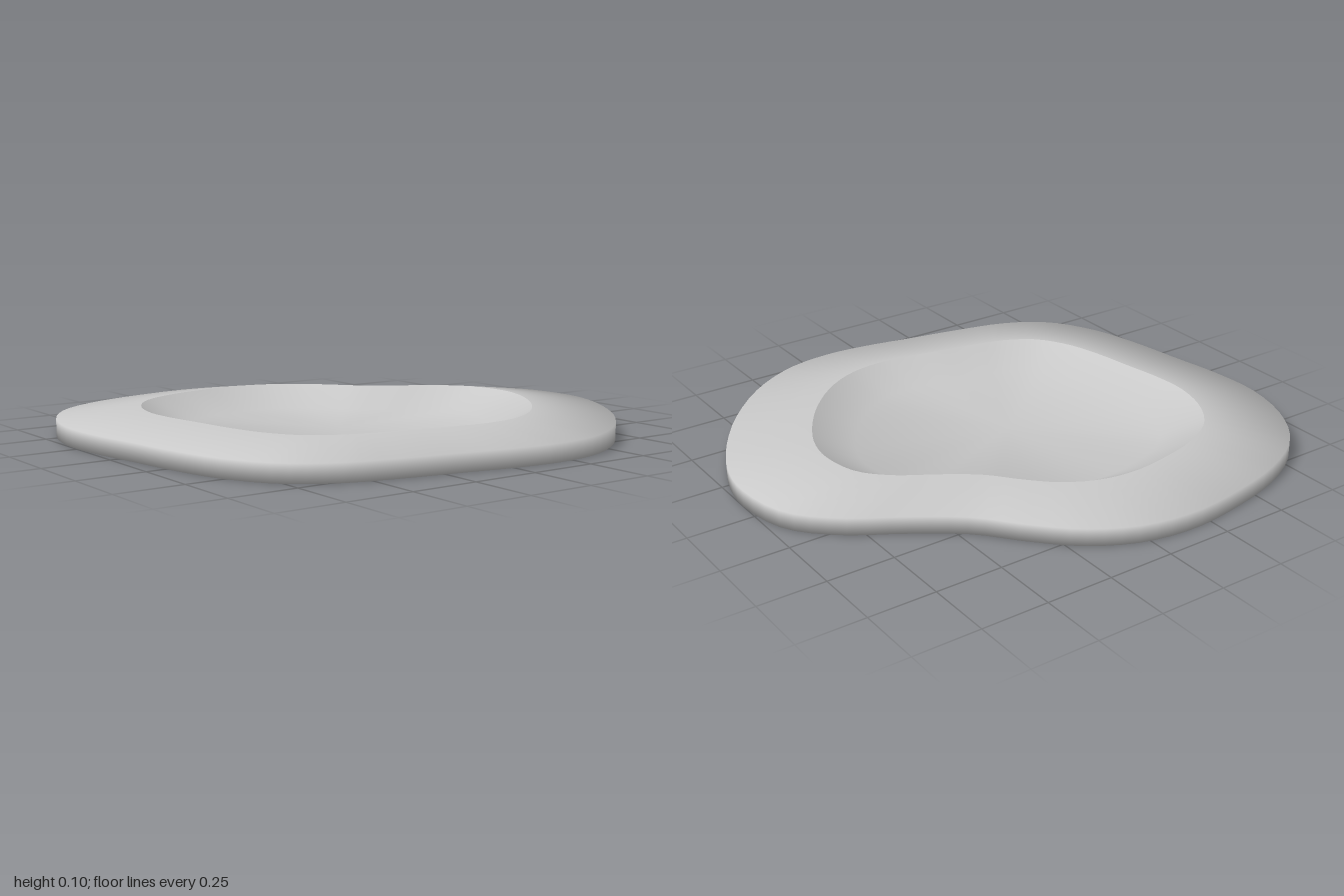
import * as THREE from 'three';

// Blob outline as x, z pairs, running from the left side round the back
const OUTLINE = [
  1, 0.08, 0.955, -0.13, 0.825, -0.275, 0.63, -0.4, 0.46, -0.525, 0.335, -0.67,
  0.2, -0.8, 0.03, -0.89, -0.17, -0.922, -0.4, -0.895, -0.62, -0.835, -0.81, -0.725,
  -0.935, -0.55, -0.995, -0.34, -0.99, -0.145, -0.955, 0.07, -0.917, 0.3, -0.86, 0.5,
  -0.755, 0.67, -0.6, 0.77, -0.395, 0.825, -0.18, 0.866, 0.03, 0.907, 0.2, 0.92,
  0.385, 0.89, 0.575, 0.788, 0.765, 0.605, 0.905, 0.4, 0.978, 0.235,
];
const CENTRE = { x: -0.067, z: 0.017 };
const SIDES = 96;

// Lofts scaled copies of the outline. Each ring is [scale, y, normal angle],
// the angle in degrees: 0 points outward, 90 up, over 90 leans inward.
function loft(rings, curve) {
  const positions = [], normals = [], index = [];
  rings.forEach(([scale, y, angle], k) => {
    const a = THREE.MathUtils.degToRad(angle);
    for (let i = 0; i <= SIDES; i++) {
      const u = (i % SIDES) / SIDES;
      const p = curve.getPoint(u), t = curve.getTangent(u);
      positions.push(CENTRE.x + (p.x - CENTRE.x) * scale, y, CENTRE.z + (p.z - CENTRE.z) * scale);
      normals.push(-t.z * Math.cos(a), Math.sin(a), t.x * Math.cos(a));
      if (k > 0 && i < SIDES) {
        // a ring of scale 0 closes to a point with one triangle per side
        const d = k * (SIDES + 1) + i, c = d - SIDES - 1;
        if (rings[k - 1][0] > 0) index.push(c, c + 1, d + 1);
        if (scale > 0) index.push(c, d + 1, d);
      }
    }
  });
  const geometry = new THREE.BufferGeometry();
  geometry.setAttribute('position', new THREE.Float32BufferAttribute(positions, 3));
  geometry.setAttribute('normal', new THREE.Float32BufferAttribute(normals, 3));
  geometry.setIndex(index);
  return geometry;
}

export function createModel() {
  const group = new THREE.Group();
  const stone = new THREE.MeshStandardMaterial({ color: 0xc8c8c8 });
  stone.name = 'grey stone';

  const points = [];
  for (let i = 0; i < OUTLINE.length; i += 2) {
    points.push(new THREE.Vector3(OUTLINE[i], 0, OUTLINE[i + 1]));
  }
  const curve = new THREE.CatmullRomCurve3(points, true);

  // Underside, low outer wall and gently rising bank, softly shaded together
  const rim = new THREE.Mesh(loft([
    [0, 0, -90], [1, 0, -45], [1, 0.065, 49], [0.7, 0.105, 82],
  ], curve), stone);
  rim.name = 'rim';

  // Hollow in the middle: a sloping bank down to a nearly flat floor
  const basin = new THREE.Mesh(loft([
    [0.7, 0.105, 121], [0.55, 0.025, 107], [0, 0.02, 90],
  ], curve), stone);
  basin.name = 'basin';

  group.add(rim, basin);
  return group;
}
